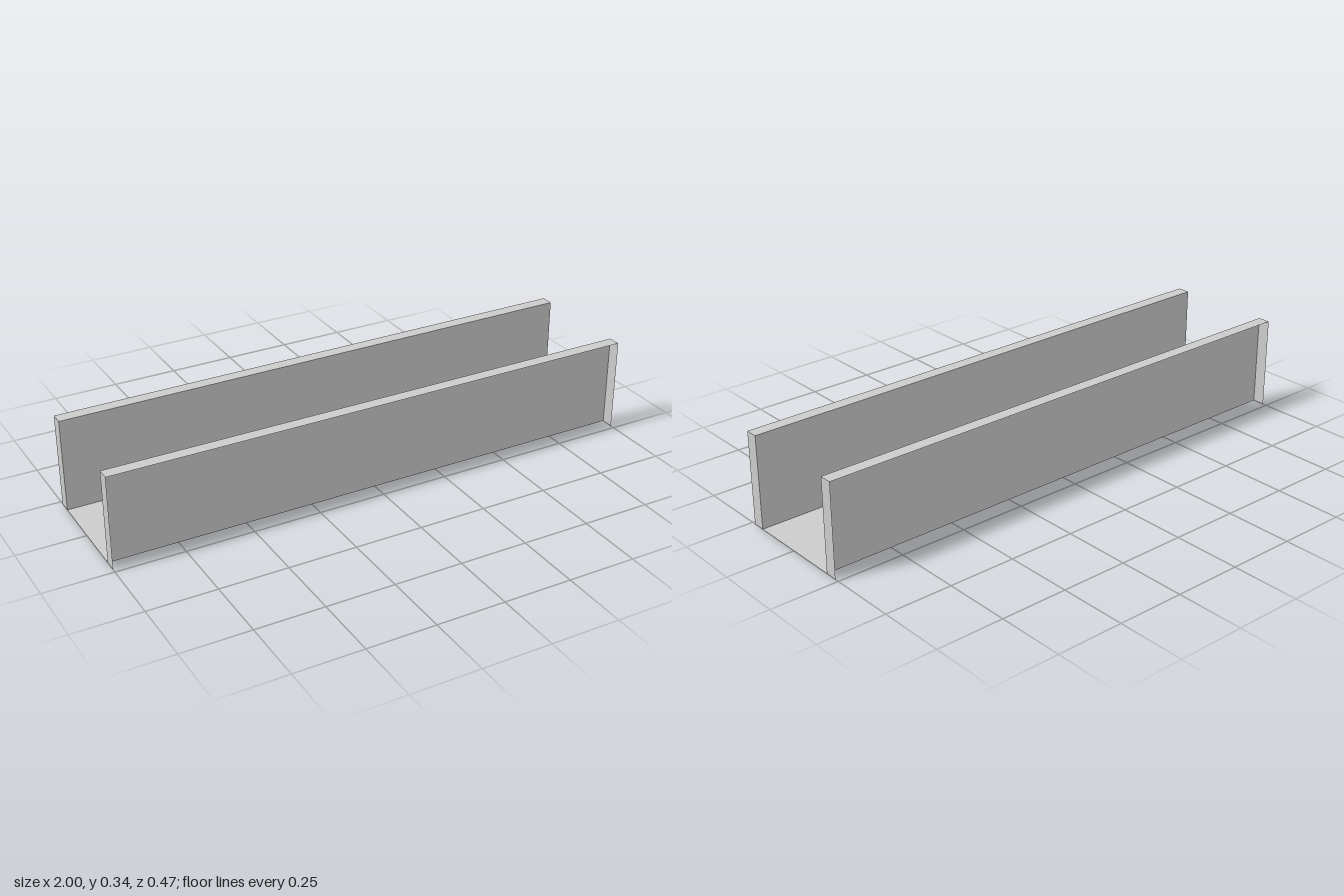
import * as THREE from 'three';

const LENGTH = 2, HEIGHT = 0.344, INNER = 0.1875, OUTER = 0.2345;
const THICK = OUTER - INNER;
const material = new THREE.MeshStandardMaterial({ color: 0xcccccc, side: THREE.DoubleSide, flatShading: true });

// Flat panel of the given size, facing +z until turned
function panel(name, width, height, position, rotation = [0, 0, 0]) {
  const mesh = new THREE.Mesh(new THREE.PlaneGeometry(width, height), material);
  mesh.name = name;
  mesh.position.set(...position);
  mesh.rotation.set(...rotation);
  return mesh;
}

// Side wall: a shell of inner face, top rim and end caps, open outside and below
function wall(name, side) {
  const group = new THREE.Group();
  group.name = name;
  const mid = side * (INNER + OUTER) / 2;
  group.add(
    panel('innerFace', LENGTH, HEIGHT, [0, HEIGHT / 2, side * INNER], [0, side > 0 ? Math.PI : 0, 0]),
    panel('topRim', LENGTH, THICK, [0, HEIGHT, mid], [-Math.PI / 2, 0, 0])
  );
  for (const end of [-1, 1]) {
    group.add(panel('endCap', THICK, HEIGHT, [end * LENGTH / 2, HEIGHT / 2, mid], [0, end * Math.PI / 2, 0]));
  }
  return group;
}

export function createModel() {
  const model = new THREE.Group();
  model.name = 'channel';
  model.add(
    panel('floor', LENGTH, INNER * 2, [0, 0, 0], [-Math.PI / 2, 0, 0]),
    wall('frontWall', 1),
    wall('backWall', -1)
  );
  return model;
}
